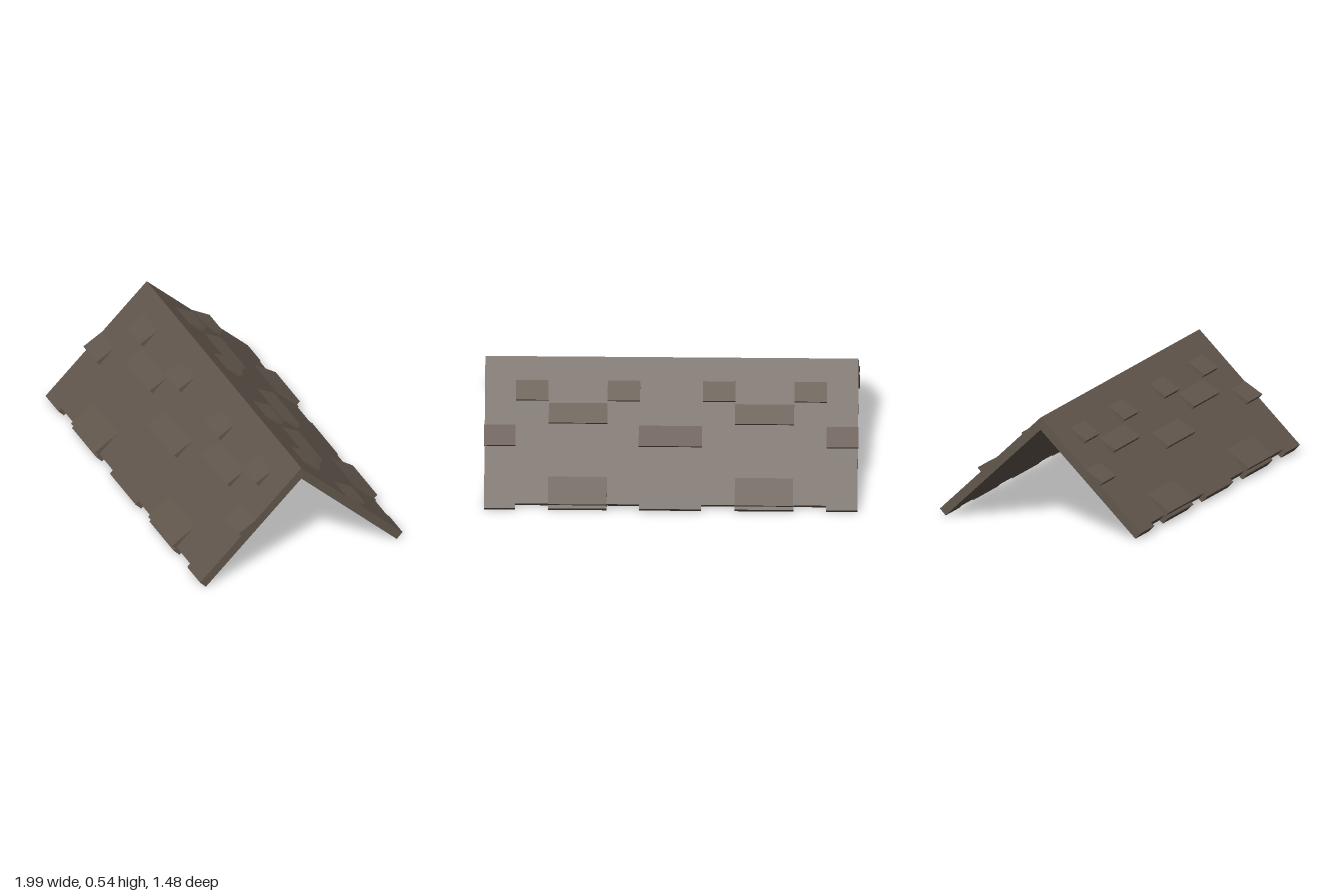
import * as THREE from 'three';

const HALF = 0.89;                      // half ridge length
const RIDGE = 0.54;                     // ridge height
const PITCH = Math.atan2(0.51, 0.53);
const LENGTH = Math.hypot(0.51, 0.53);  // ridge to eave along the slope
const DROP = 0.06;                      // vertical thickness at the ridge
const THICK = DROP * Math.cos(PITCH);
const LIFT = 0.025;                     // raised lower end of a shingle

// Slope space: x along the ridge, -y down the slope, z outwards.
function slabGeometry() {
  const notches = [[-0.742, -0.585], [-0.305, -0.15], [0.145, 0.305], [0.585, 0.74]];
  const shape = new THREE.Shape();
  shape.moveTo(HALF, 0);
  shape.lineTo(-HALF, 0);
  shape.lineTo(-HALF, -LENGTH);
  for (const [a, b] of notches) {
    shape.lineTo(a, -LENGTH);
    shape.lineTo(a, -LENGTH + 0.022);
    shape.lineTo(b, -LENGTH + 0.022);
    shape.lineTo(b, -LENGTH);
  }
  shape.lineTo(HALF, -LENGTH);
  shape.closePath();
  const geo = new THREE.ExtrudeGeometry(shape, { depth: THICK, bevelEnabled: false });
  geo.translate(0, 0, -THICK);
  // Mitre the underside where both slopes meet
  const p = geo.attributes.position;
  for (let i = 0; i < p.count; i++) {
    if (p.getY(i) > -0.001 && p.getZ(i) < -0.001) p.setY(i, -DROP * Math.sin(PITCH));
  }
  geo.computeVertexNormals();
  return geo;
}

// Wedge that rises out of the slope towards its lower end
function shingleGeometry(x0, x1, s0, s1) {
  const shape = new THREE.Shape();
  shape.moveTo(-s0, 0);
  shape.lineTo(-s1, LIFT);
  shape.lineTo(-s1, -0.005);
  shape.closePath();
  const geo = new THREE.ExtrudeGeometry(shape, { depth: x1 - x0, bevelEnabled: false });
  geo.applyMatrix4(new THREE.Matrix4().makeBasis(
    new THREE.Vector3(0, 1, 0), new THREE.Vector3(0, 0, 1), new THREE.Vector3(1, 0, 0)));
  geo.translate(x0, 0, 0);
  return geo;
}

// Rows: upper end, lower end, then the spans along the ridge
const ROWS = [
  [0.115, 0.215, [[-0.742, -0.587], [-0.305, -0.15], [0.15, 0.305], [0.585, 0.74]]],
  [0.225, 0.325, [[-0.585, -0.305], [0.303, 0.585]]],
  [0.332, 0.435, [[-0.893, -0.742], [-0.155, 0.147], [0.74, 0.893]]],
  [0.582, 0.72, [[-0.585, -0.305], [0.305, 0.583]]],
];

export function createModel() {
  const roofBrown = new THREE.MeshStandardMaterial({ color: 0x62574d });
  roofBrown.name = 'roofBrown';
  const model = new THREE.Group();
  model.name = 'shingledRoof';

  const slab = slabGeometry();
  const shingles = ROWS.flatMap(([s0, s1, spans]) =>
    spans.map(([a, b]) => shingleGeometry(a, b, s0, s1)));

  // Two identical slopes, half a turn apart
  for (const [name, turn] of [['frontSlope', 0], ['backSlope', Math.PI]]) {
    const side = new THREE.Group();
    side.name = name;
    side.rotation.y = turn - Math.PI / 12;
    const slope = new THREE.Group();
    slope.name = name + 'Plane';
    slope.position.y = RIDGE;
    slope.rotation.x = PITCH - Math.PI / 2;

    const base = new THREE.Mesh(slab, roofBrown);
    base.name = 'roofSlab';
    slope.add(base);
    for (const geo of shingles) {
      const shingle = new THREE.Mesh(geo, roofBrown);
      shingle.name = 'shingle';
      slope.add(shingle);
    }
    side.add(slope);
    model.add(side);
  }
  return model;
}
